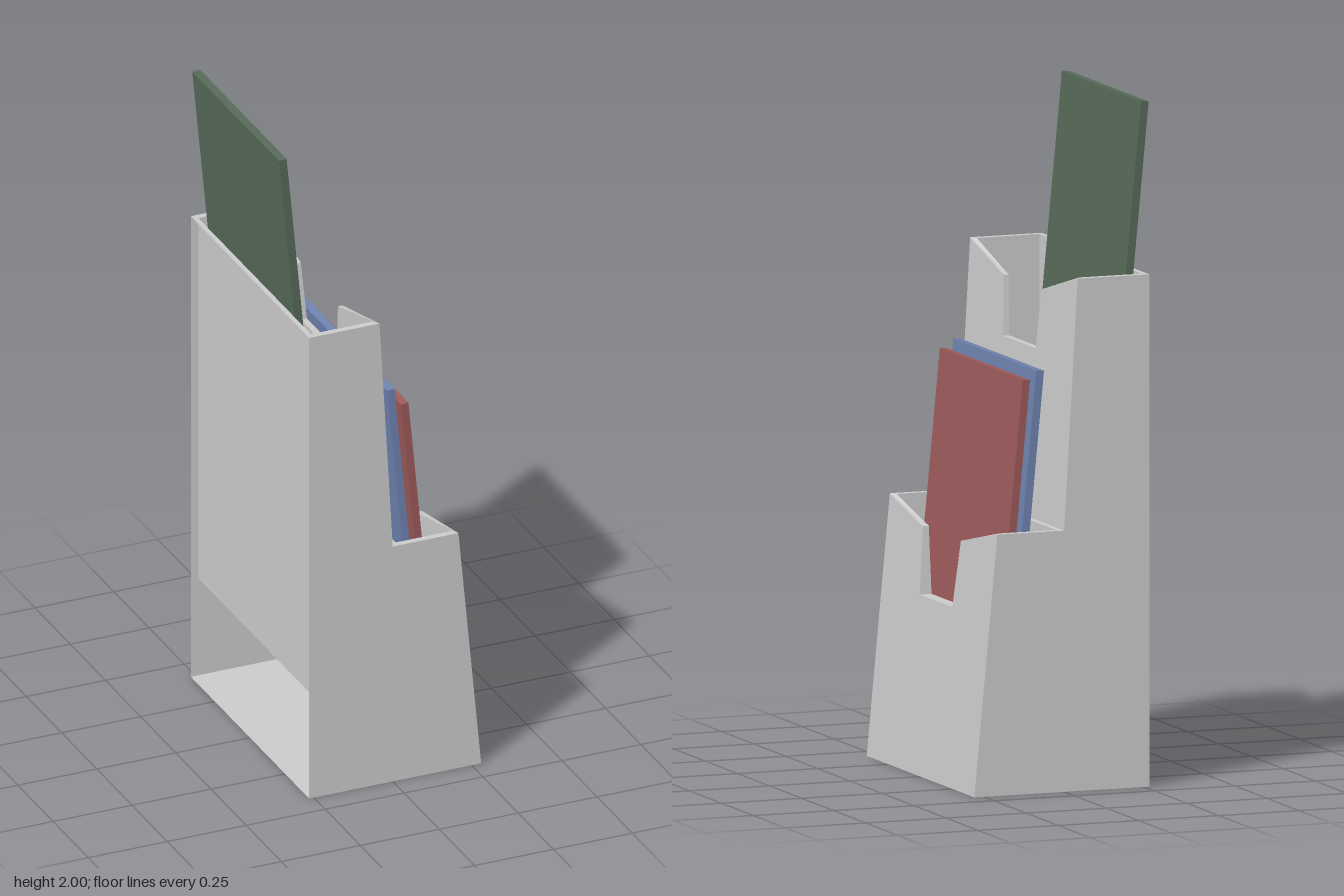
import * as THREE from 'three';

const grey = new THREE.MeshStandardMaterial({ color: 0xcccccc, flatShading: true, side: THREE.DoubleSide });
const W = 0.42, INNER_W = 0.4; // half depths of the case and of its pockets

// Mesh from a list of four-cornered faces
function quadMesh(name, quads) {
  const pos = [];
  for (const [a, b, c, d] of quads) pos.push(...a, ...b, ...c, ...a, ...c, ...d);
  const geo = new THREE.BufferGeometry();
  geo.setAttribute('position', new THREE.Float32BufferAttribute(pos, 3));
  geo.computeVertexNormals();
  const mesh = new THREE.Mesh(geo, grey);
  mesh.name = name;
  return mesh;
}

// Strip of faces between two matching rows of points
function strip(top, low, closed) {
  const quads = [], n = top.length;
  for (let i = 0; i < (closed ? n : n - 1); i++) {
    const j = (i + 1) % n;
    quads.push([top[i], low[i], low[j], top[j]]);
  }
  return quads;
}

// Dipped front edge with a thumb notch, from +z to -z
function frontEdge(halfWidth, p, xAt) {
  const half = [[halfWidth, p.top], [0.148, p.shoulder], [0.127, p.notch]];
  const all = [...half, ...half.slice().reverse().map(([z, y]) => [-z, y])];
  return all.map(([z, y]) => [xAt(y), y, z]);
}

// One tier: notched front panel, rim and pocket lining
function makeTier(name, p) {
  const tier = new THREE.Group();
  tier.name = name;
  const outerFront = frontEdge(W, p, p.outerX);
  const innerFront = frontEdge(INNER_W, p, p.innerX);
  const outer = [...outerFront, [p.back, p.top, -W], [p.back, p.top, W]];
  const inner = [...innerFront, [p.innerBack, p.top, -INNER_W], [p.innerBack, p.top, INNER_W]];
  const n = innerFront.length;
  const base = outerFront.map(([, , z]) => [p.outerX(p.base), p.base, z]);
  const low = inner.map(([x, , z], i) => [i < n ? p.innerX(p.floor) : x, p.floor, z]);
  tier.add(
    quadMesh('frontPanel', strip(outerFront, base, false)),
    quadMesh('rim', strip(outer, inner, true)),
    quadMesh('pocketWalls', strip(inner, low, true)),
    quadMesh('pocketFloor', [[low[0], low[n - 1], low[n], low[n + 1]]])
  );
  return tier;
}

// Leaning brochure: top centre x, top and bottom height, z range
function makeBrochure(name, color, x, top, bottom, z0, z1) {
  const lean = 0.095, length = (top - bottom) / Math.cos(lean);
  const mesh = new THREE.Mesh(
    new THREE.BoxGeometry(0.024, length, z1 - z0),
    new THREE.MeshStandardMaterial({ color, flatShading: true })
  );
  mesh.rotation.z = lean;
  mesh.position.set(x + Math.sin(lean) * length / 2, (top + bottom) / 2, (z0 + z1) / 2);
  mesh.name = name;
  return mesh;
}

export function createModel() {
  const model = new THREE.Group();
  model.name = 'brochureHolder';

  // Stepped side walls
  const profile = new THREE.Shape([
    [-0.265, 0], [0.28, 0], [0.208, 0.765], [0, 0.765], [-0.042, 1.5], [-0.265, 1.5],
  ].map(([x, y]) => new THREE.Vector2(x, y)));
  for (const side of [1, -1]) {
    const wall = new THREE.Mesh(new THREE.ShapeGeometry(profile), grey);
    wall.position.z = side * W;
    if (side < 0) wall.scale.z = -1;
    wall.name = 'sideWall';
    model.add(wall);
  }

  // Base; the back stays open
  model.add(quadMesh('base', [[[-0.265, 0, -W], [0.28, 0, -W], [0.28, 0, W], [-0.265, 0, W]]]));

  model.add(makeTier('upperTier', {
    top: 1.5, shoulder: 1.43, notch: 1.255, base: 0.765, floor: 0.327, back: -0.265, innerBack: -0.25,
    outerX: (y) => -0.042 * (y - 0.765) / 0.735,
    innerX: (y) => -0.055 + (1.5 - y) * 0.034,
  }));
  model.add(makeTier('lowerTier', {
    top: 0.765, shoulder: 0.708, notch: 0.512, base: 0, floor: 0.015, back: 0, innerBack: 0.018,
    outerX: (y) => 0.28 - 0.072 * y / 0.765,
    innerX: () => 0.195,
  }));

  // Brochures
  model.add(
    makeBrochure('greenBrochure', 0x566a58, -0.271, 1.999, 0.33, -0.37, 0.247),
    makeBrochure('blueBrochure', 0x6f82b0, 0.037, 1.222, 0.42, -0.325, 0.323),
    makeBrochure('redBrochure', 0x9c5a5a, 0.063, 1.19, 0.43, -0.284, 0.363)
  );
  return model;
}
